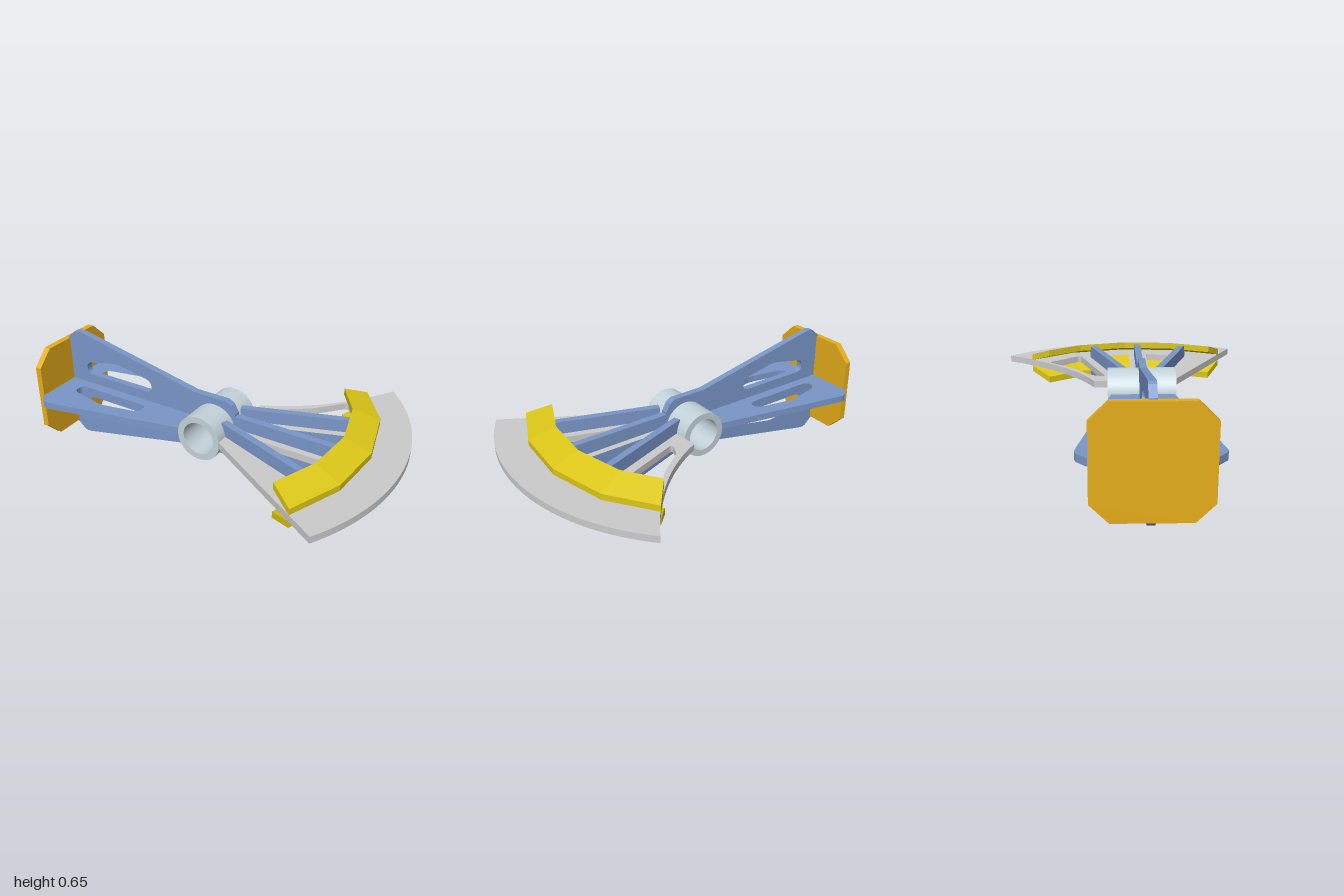
import * as THREE from 'three';

const CY = 0.33, CZ = 0.09, T = 0.038; // hub axis height, hub mid depth, sheet thickness
const mat = (color) => new THREE.MeshStandardMaterial({ color, flatShading: true });
const blue = mat(0x7a96c8), amber = mat(0xe6ad1a), yellow = mat(0xdcc718), grey = mat(0xcccccc);
const steel = new THREE.MeshStandardMaterial({ color: 0xc3d3da });

// Closed path through points, each corner softened by distance r
function rounded(pts, r, path = new THREE.Path()) {
  const v = pts.map((p) => new THREE.Vector2(...p));
  v.forEach((p, i) => {
    const a = v[(i + v.length - 1) % v.length], b = v[(i + 1) % v.length];
    const toward = (q) => q.clone().sub(p).setLength(Math.min(r, q.distanceTo(p) * 0.45)).add(p);
    const s = toward(a), e = toward(b);
    if (i === 0) path.moveTo(s.x, s.y); else path.lineTo(s.x, s.y);
    path.quadraticCurveTo(p.x, p.y, e.x, e.y);
  });
  path.closePath();
  return path;
}
const polygon = (pts) => new THREE.Shape(pts.map((p) => new THREE.Vector2(...p)));

// Sheet cut from a shape, centred on its own plane
function sheet(shape, thickness) {
  return new THREE.ExtrudeGeometry(shape, { depth: thickness, bevelEnabled: false, curveSegments: 24 })
    .translate(0, 0, -thickness / 2);
}

// Yellow band: a tilted slab swept along a faceted arc; side = 1 above, -1 below
function bandGeometry(side) {
  const outer = [[0.583, -0.55], [0.75, -0.315], [0.83, 0.005], [0.807, 0.325], [0.69, 0.603]];
  const inner = [[0.49, -0.44], [0.615, -0.257], [0.685, 0.015], [0.663, 0.29], [0.567, 0.524]];
  const pos = [], idx = [];
  outer.forEach((o, i) => {
    const n = inner[i];
    [[n, 0.1], [o, 0.052], [o, 0.017], [n, 0.064]].forEach(([p, h]) => pos.push(p[0], CY + side * h, p[1]));
  });
  const quad = (a, b, c, d) => (side > 0 ? idx.push(a, b, c, a, c, d) : idx.push(a, c, b, a, d, c));
  for (let i = 0; i < 4; i++) {
    for (let k = 0; k < 4; k++) {
      const n = (k + 1) % 4;
      quad(i * 4 + k, i * 4 + 4 + k, i * 4 + 4 + n, i * 4 + n);
    }
  }
  quad(0, 1, 2, 3);
  quad(19, 18, 17, 16);
  const g = new THREE.BufferGeometry();
  g.setAttribute('position', new THREE.Float32BufferAttribute(pos, 3));
  g.setIndex(idx);
  const flat = g.toNonIndexed();
  flat.computeVertexNormals();
  return flat;
}

export function createModel() {
  const model = new THREE.Group();
  const add = (name, geometry, material) => {
    const mesh = new THREE.Mesh(geometry, material);
    mesh.name = name;
    model.add(mesh);
    return mesh;
  };

  // Hub: open tube along z
  const section = [[0.09, -0.18], [0.125, -0.18], [0.125, 0.18], [0.09, 0.18], [0.09, -0.18]];
  const hubPoints = [];
  for (let i = 0; i < 4; i++) hubPoints.push(section[i], section[i + 1]);
  // each wall is its own lathe so the rims stay crisp
  for (let i = 0; i < 4; i++) {
    const wall = hubPoints.slice(i * 2, i * 2 + 2).map((p) => new THREE.Vector2(...p));
    add('hubTube', new THREE.LatheGeometry(wall, 48).rotateX(Math.PI / 2).translate(0, CY, CZ), steel);
  }

  // Triangular window shared by both tail plates
  const tailWindow = (s) => rounded(
    [[-0.855, 0.075], [-0.405, 0.075], [-0.405, 0.145], [-0.63, 0.19], [-0.855, 0.145]].map(([x, y]) => [x, y * s]), 0.04);

  // Upright plate: tail fin, hub collar and central rib in one sheet
  const half = [[-0.975, 0.275], [-0.925, 0.32], [-0.905, 0.326], [-0.875, 0.323], [-0.12, 0.163],
    [0.07, 0.163], [0.1, 0.145], [0.125, 0.1], [0.125, 0.088], [0.685, 0.088]];
  const mirror = (pts) => [...pts, ...pts.map(([x, y]) => [x, -y]).reverse()];
  const upright = polygon(mirror(half));
  upright.holes.push(tailWindow(1), tailWindow(-1), new THREE.Path().absarc(0, 0, 0.1, 0, Math.PI * 2));
  add('uprightPlate', sheet(upright, T).translate(0, CY, CZ + 0.004), blue);

  // Level tail plate
  const level = polygon(mirror([...half.slice(0, 4), [-0.13, 0.167], [-0.115, 0.16]]));
  level.holes.push(tailWindow(1), tailWindow(-1));
  add('levelPlate', sheet(level, T).rotateX(Math.PI / 2).translate(0, CY, CZ + 0.004), blue);

  // Octagonal end plate
  const e = 0.27, c = 0.182;
  const octagon = polygon([[e, -c], [e, c], [c, e], [-c, e], [-e, c], [-e, -c], [-c, -e], [c, -e]]);
  add('endPlate', sheet(octagon, 0.035).rotateY(Math.PI / 2).translate(-0.9825, CY, CZ + 0.006), amber);

  // Sector plate: shape drawn in x and z
  const sector = new THREE.Shape();
  sector.moveTo(0.12, -0.165);
  sector.lineTo(0.12, 0.27);
  sector.lineTo(0.83, 0.685);
  sector.absarc(-0.126, 0.09, 1.126, Math.atan2(0.595, 0.956), Math.atan2(-0.78, 0.806), true);
  sector.quadraticCurveTo(0.45, -0.31, 0.12, -0.165);
  sector.holes.push(
    rounded([[0.21, -0.1], [0.24, -0.185], [0.38, -0.285], [0.52, -0.44], [0.67, -0.26]], 0.03),
    rounded([[0.19, 0.04], [0.7, 0.04], [0.665, -0.125]], 0.015),
    rounded([[0.19, 0.15], [0.7, 0.15], [0.665, 0.31]], 0.015));
  add('sectorPlate', sheet(sector, 0.037).rotateX(Math.PI / 2).translate(0, CY, 0), grey);

  // Slanted ribs and the bands above and below the sector
  for (const s of [1, -1]) {
    const rib = add('slantedRib', new THREE.BoxGeometry(0.58, 0.176, T), blue);
    rib.position.set(0.375, CY, CZ + 0.004 + s * 0.18);
    rib.rotation.y = -s * 0.33;
    add(s > 0 ? 'upperBand' : 'lowerBand', bandGeometry(s), yellow);
  }
  return model;
}
